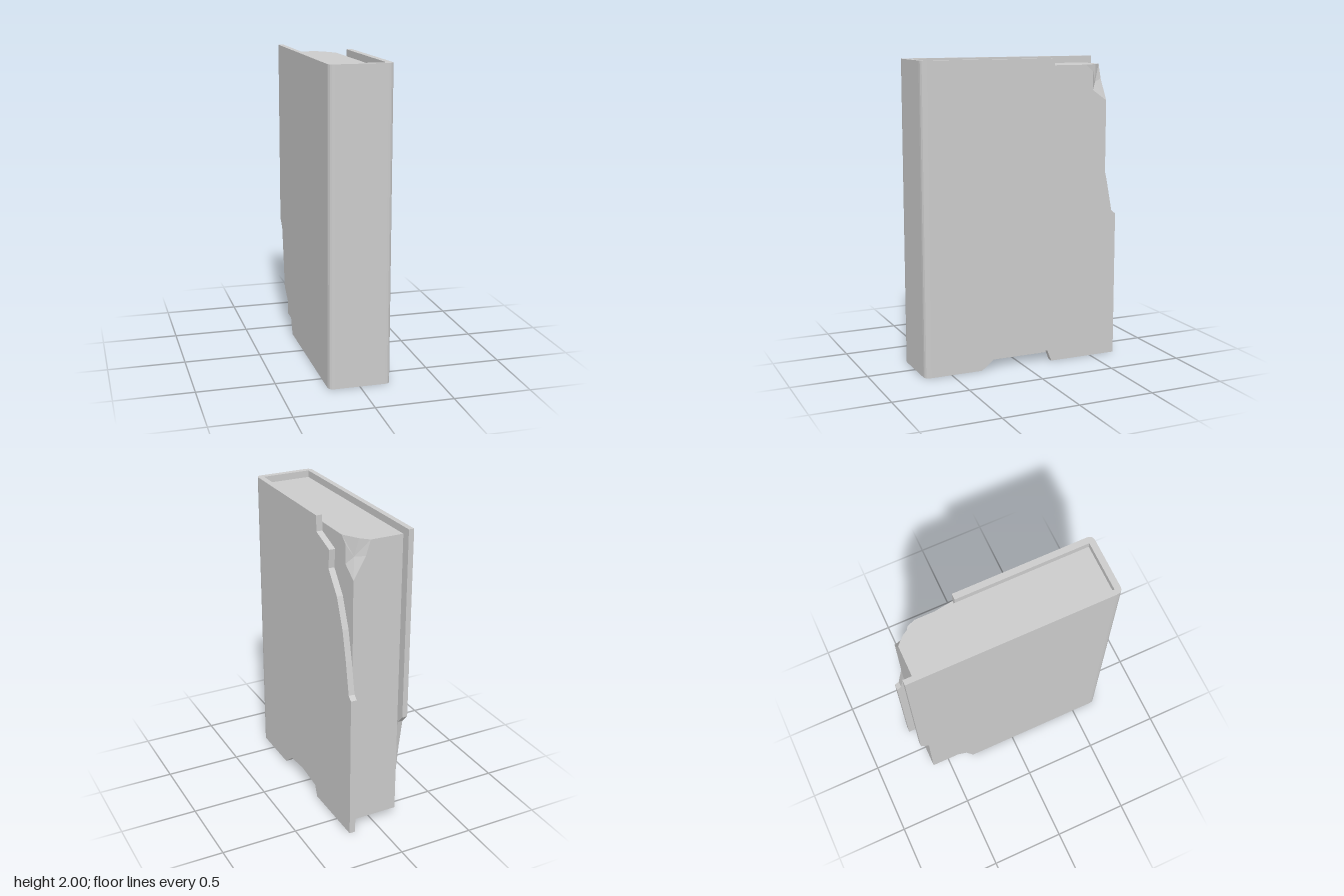
import * as THREE from 'three';

const X0 = -0.165, X1 = 0.16;   // inner faces of the two cover boards
const HALF = 0.2, BACK = -0.68, FRONT = 0.68, SPINE = 0.64;

const material = new THREE.MeshStandardMaterial({ color: 0xcccccc });

function addMesh(group, name, geometry) {
  const mesh = new THREE.Mesh(geometry, material);
  mesh.name = name;
  group.add(mesh);
}

// Flat board from a [z, y] outline, extruded along x from xMin to xMax
function board(outline, xMin, xMax) {
  const shape = new THREE.Shape(outline.map(([z, y]) => new THREE.Vector2(-z, y)));
  const geo = new THREE.ExtrudeGeometry(shape, { depth: xMax - xMin, bevelEnabled: false });
  return geo.rotateY(Math.PI / 2).translate(xMin, 0, 0);
}

// Spine strip with rounded outer corners, extruded upwards
function spine() {
  const r = 0.038, s = new THREE.Shape();
  s.moveTo(-HALF, -SPINE);
  s.quadraticCurveTo(-HALF, -FRONT, -HALF + r, -FRONT);
  s.lineTo(HALF - r, -FRONT);
  s.quadraticCurveTo(HALF, -FRONT, HALF, -SPINE);
  s.closePath();
  const geo = new THREE.ExtrudeGeometry(s, { depth: 2, bevelEnabled: false, curveSegments: 4 });
  return geo.rotateX(-Math.PI / 2);
}

// Page block with one top corner broken off
function pages() {
  const yb = 0.05, yt = 1.955, zb = -0.62, zf = SPINE;
  // Rim of the break: along the top, down the side, then across the back
  const A = [0.05, yt, zb], M = [0.1, yt, -0.57], B = [X1, yt, -0.47];
  const C = [X1, 1.91, -0.52], D = [X1, 1.79, -0.52], E = [X1, 1.72, zb];
  const F = [0.08, 1.86, zb], Q = [0.122, 1.84, -0.555];
  const p = (x, y, z) => [x, y, z];
  const faces = [
    [p(X1, yb, zf), p(X1, yb, zb), E, D, C, B, p(X1, yt, zf)],            // left side
    [p(X0, yt, zf), p(X1, yt, zf), B, M, A, p(X0, yt, zb)],               // top
    [p(X0, yb, zb), p(X0, yt, zb), A, F, E, p(X1, yb, zb)],               // back
    [p(X0, yb, zb), p(X0, yb, zf), p(X0, yt, zf), p(X0, yt, zb)],         // right side
    [p(X0, yb, zb), p(X1, yb, zb), p(X1, yb, zf), p(X0, yb, zf)],         // bottom
    [p(X0, yb, zf), p(X1, yb, zf), p(X1, yt, zf), p(X0, yt, zf)],         // front
    [Q, A, M, B, C, D, E, F, A],                                          // broken corner
  ];
  const pos = [];
  for (const f of faces)
    for (let i = 1; i < f.length - 1; i++) pos.push(...f[0], ...f[i], ...f[i + 1]);
  const geo = new THREE.BufferGeometry();
  geo.setAttribute('position', new THREE.Float32BufferAttribute(pos, 3));
  geo.computeVertexNormals();
  return geo;
}

export function createModel() {
  const book = new THREE.Group();
  book.name = 'wornBook';

  // Left cover: torn upper back corner and a worn notch in the lower edge
  addMesh(book, 'leftCover', board([
    [SPINE, 0], [0.29, 0], [0.19, 0.08], [0.02, 0.1], [-0.18, 0.075], [-0.21, 0],
    [BACK, 0], [BACK, 0.965], [-0.65, 0.99], [-0.61, 1.2], [-0.565, 1.39],
    [-0.49, 1.58], [-0.38, 1.72], [-0.39, 1.84], [-0.22, 1.9], [-0.22, 2], [SPINE, 2],
  ], X1, HALF));

  // Right cover: torn lower back corner
  addMesh(book, 'rightCover', board([
    [SPINE, 0], [-0.32, 0], [-0.37, 0.13], [-0.56, 0.28], [-0.59, 0.5],
    [-0.625, 0.7], [BACK, 0.76], [BACK, 2], [SPINE, 2],
  ], -HALF, X0));

  addMesh(book, 'spine', spine());
  addMesh(book, 'pages', pages());
  return book;
}
